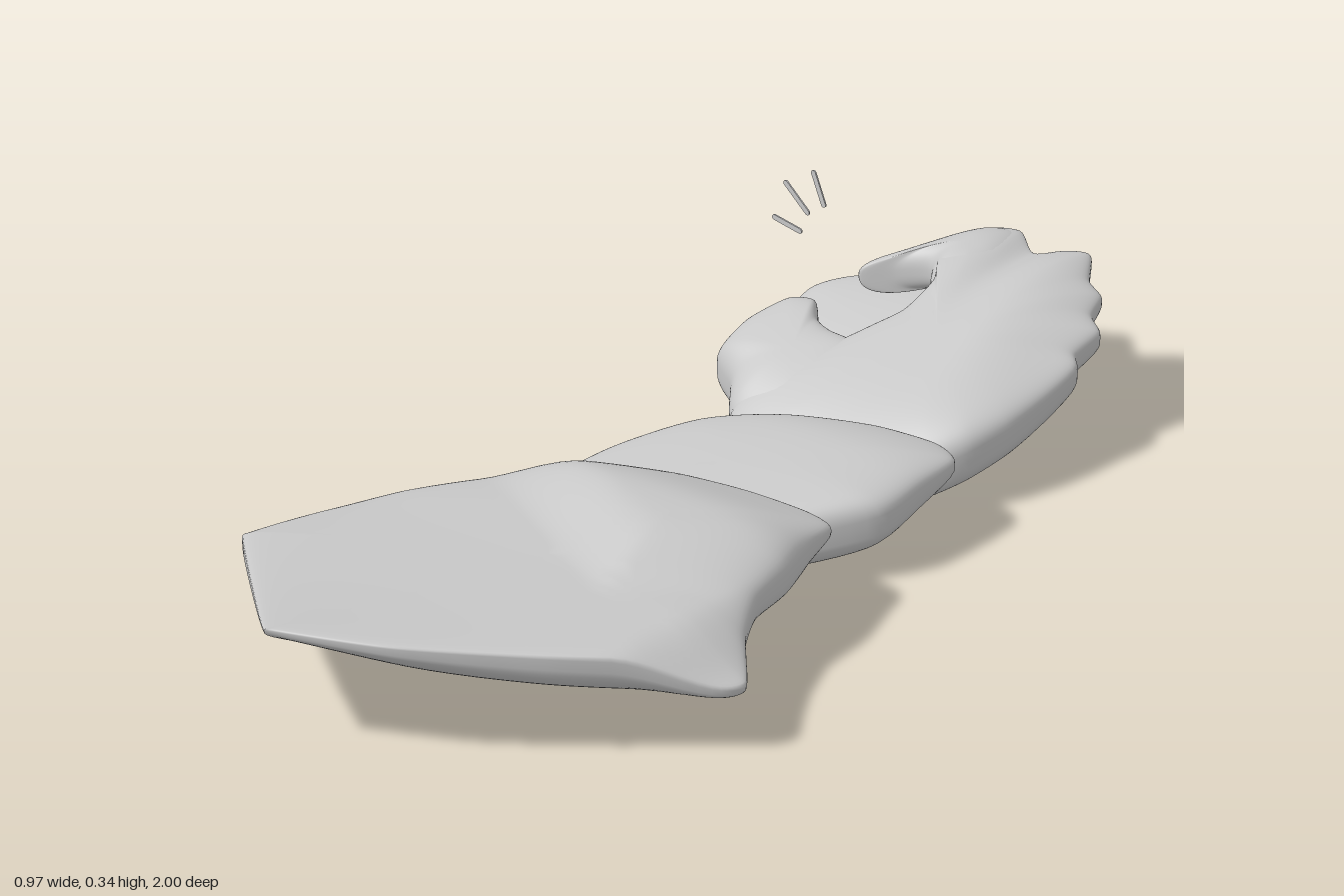
import * as THREE from 'three';

const smooth = THREE.MathUtils.smoothstep;

// Puffy closed form: a star-shaped outline (clockwise from above) in x,z around a centre.
// Sections give [z, top, bottom, rim] heights along z; lift raises the top, bend the whole part.
function pillow(outline, [cx, cz], sections,
  { lift = () => 0, bend = () => 0, puff = 1, full = 3.4 } = {}) {
  const curve = new THREE.CatmullRomCurve3(
    outline.map(([x, z]) => new THREE.Vector3(x, 0, z)), true, 'catmullrom', 0.35);
  const n = outline.length * 6, rows = 48;
  const heights = new THREE.CubicInterpolant(
    sections.map(s => s[0]), sections.flatMap(s => s.slice(1)), 3);
  const zMin = sections[0][0], zMax = sections[sections.length - 1][0];
  const rim = [];
  for (let j = 0; j < n; j++) rim.push(curve.getPoint(j / n));
  const pos = [], index = [];
  for (let i = 0; i <= rows; i++) {
    const t = Math.sin((i / rows) * Math.PI);
    const f = Math.pow(Math.max(0, 1 - Math.pow(Math.max(t, 0), full)), 1 / full) * puff;
    for (let j = 0; j < n; j++) {
      const x = cx + (rim[j].x - cx) * t, z = cz + (rim[j].z - cz) * t;
      const [top, bottom, edge] = heights.evaluate(THREE.MathUtils.clamp(z, zMin, zMax));
      const mid = bottom + (top - bottom) * edge;
      const face = i <= rows / 2 ? top + lift(x, z) : bottom;
      pos.push(x, mid + (face - mid) * f + bend(x, z), z);
      if (i < rows) {
        const p = i * n + j, q = i * n + (j + 1) % n;
        index.push(p, q, p + n, q, q + n, p + n);
      }
    }
  }
  const g = new THREE.BufferGeometry();
  g.setAttribute('position', new THREE.Float32BufferAttribute(pos, 3));
  g.setIndex(index);
  g.computeVertexNormals();
  return g;
}

export function createModel() {
  const model = new THREE.Group();
  model.name = 'snappingArm';
  const clay = new THREE.MeshStandardMaterial({ name: 'light grey', color: 0xc8c8c8 });
  const add = (name, geometry, parent = model) => {
    const m = new THREE.Mesh(geometry, clay);
    m.name = name;
    parent.add(m);
    return m;
  };

  // Sleeve: flat front with a raised fold at the back
  const sleeveOutline = [
    [-0.472, 0.66], [-0.447, 0.5], [-0.395, 0.34], [-0.305, 0.195], [-0.18, 0.07], [-0.05, -0.025],
    [0.07, -0.056], [0.2, -0.056], [0.272, -0.03], [0.297, 0.06], [0.327, 0.16], [0.342, 0.265],
    [0.39, 0.36], [0.43, 0.41], [0.48, 0.475], [0.465, 0.525], [0.36, 0.625], [0.24, 0.735],
    [0.03, 0.895], [-0.155, 0.99], [-0.18, 0.992], [-0.315, 0.85], [-0.462, 0.69]];
  const sleeveSections = [
    [-0.06, 0.175, 0.14, 0.5], [0, 0.188, 0.127, 0.5], [0.1, 0.2, 0.103, 0.5],
    [0.25, 0.207, 0.09, 0.5], [0.45, 0.208, 0.085, 0.6], [0.6, 0.213, 0.09, 0.75],
    [0.8, 0.224, 0.128, 0.82], [1, 0.244, 0.21, 0.7]];
  const fold = (x, z) => {
    const front = 0.29 + (x + 0.14) * 0.58 - z;
    const side = (0.63 - x - z) * 0.7;
    return 0.048 * smooth(Math.min(front, side), -0.03, 0.17) * smooth(z, -0.1, 0.18);
  };
  const sleeve = pillow(sleeveOutline, [0, 0.42], sleeveSections, { lift: fold });
  // Droop the outer corner of the sleeve
  const sp = sleeve.attributes.position;
  for (let i = 0; i < sp.count; i++) {
    const y = sp.getY(i);
    sp.setY(i, y - (y - 0.085) * 0.55 * smooth(sp.getX(i), 0.32, 0.49));
  }
  sleeve.computeVertexNormals();
  add('sleeve', sleeve);

  // Cuff, tucked under the sleeve
  add('cuff', pillow([
    [-0.318, 0.23], [-0.307, 0.1], [-0.297, 0], [-0.265, -0.1], [-0.185, -0.24], [-0.055, -0.35],
    [0.08, -0.418], [0.19, -0.432], [0.258, -0.395], [0.268, -0.29], [0.26, -0.18],
    [0.145, -0.03], [0, 0.11], [-0.18, 0.22], [-0.295, 0.245]],
  [-0.03, -0.12], [
    [-0.43, 0.16, 0.115, 0.5], [-0.4, 0.17, 0.102, 0.5], [-0.3, 0.185, 0.068, 0.5],
    [-0.2, 0.18, 0.038, 0.5], [-0.08, 0.163, 0.016, 0.5], [0.06, 0.14, 0.006, 0.5],
    [0.15, 0.125, 0.02, 0.5], [0.24, 0.112, 0.058, 0.5]]));

  // Hand: palm with scalloped fingertips, curled finger and thumb
  const handSections = [
    [-1, 0.274, 0.222, 0.5], [-0.9, 0.276, 0.195, 0.5], [-0.8, 0.264, 0.158, 0.5],
    [-0.6, 0.208, 0.07, 0.5], [-0.4, 0.134, -0.002, 0.5], [-0.34, 0.095, -0.01, 0.5],
    [-0.28, 0.065, 0.008, 0.5]];
  // Knuckle groove down the middle, and the hand falling away to both sides
  const sideFall = (x, z) =>
    smooth(-z, 0.45, 0.75) * smooth(Math.abs(x + 0.01), 0.08, 0.26);
  const knuckles = (x, z) => -0.015 * sideFall(x, z)
    - 0.022 * smooth(-z, 0.65, 0.95) * Math.exp(-(((x + 0.01) / 0.035) ** 2));
  const droop = (x, z) => -0.028 * sideFall(x, z);
  const hand = new THREE.Group();
  hand.name = 'hand';
  model.add(hand);
  add('palm', pillow([
    [-0.18, -0.31], [-0.24, -0.4], [-0.22, -0.5], [-0.14, -0.63], [-0.1, -0.7], [-0.1, -0.79],
    [-0.14, -0.86], [-0.13, -0.965], [-0.07, -0.997], [-0.01, -0.957], [0.05, -0.99],
    [0.085, -0.998], [0.13, -0.937], [0.17, -0.92], [0.188, -0.87], [0.225, -0.845],
    [0.224, -0.78], [0.247, -0.745], [0.242, -0.58], [0.217, -0.485], [0.17, -0.41],
    [0.08, -0.33], [0, -0.285], [-0.1, -0.287]],
  [0.04, -0.62], handSections, { lift: knuckles, bend: droop }), hand);
  add('curledFinger', pillow([
    [-0.272, -0.8], [-0.265, -0.83], [-0.19, -0.9], [-0.12, -0.972], [-0.06, -0.985],
    [0, -0.9], [-0.02, -0.79], [-0.1, -0.785], [-0.14, -0.832], [-0.21, -0.825]],
  [-0.1, -0.88], handSections, { lift: knuckles, bend: droop, puff: 0.95, full: 2.6 }), hand);
  add('thumb', pillow([
    [-0.35, -0.5], [-0.352, -0.58], [-0.315, -0.655], [-0.265, -0.67], [-0.225, -0.63],
    [-0.18, -0.615], [-0.08, -0.6], [-0.02, -0.48], [-0.1, -0.36], [-0.235, -0.395],
    [-0.29, -0.46]],
  [-0.2, -0.52], handSections, { puff: 0.92, full: 2.8 }), hand);

  // Folded fingers below the palm
  add('lowerFingers', pillow([
    [-0.402, -0.82], [-0.35, -0.88], [-0.26, -0.925], [-0.16, -0.95], [-0.05, -0.92],
    [0, -0.82], [-0.04, -0.7], [-0.14, -0.605], [-0.24, -0.59], [-0.31, -0.635],
    [-0.395, -0.71]],
  [-0.2, -0.77], [
    [-0.95, 0.155, 0.118, 0.5], [-0.85, 0.14, 0.068, 0.5], [-0.75, 0.11, 0.022, 0.5],
    [-0.65, 0.07, -0.005, 0.5], [-0.59, 0.045, 0.002, 0.5]]));

  // Snap marks: thin flat strips with rounded ends
  [[-0.455, 0.295, -0.408, 0.252], [-0.394, 0.333, -0.372, 0.278],
    [-0.48, 0.221, -0.425, 0.211]].forEach(([x0, y0, x1, y1], i) => {
    const r = 0.005, h = Math.hypot(x1 - x0, y1 - y0) / 2;
    const s = new THREE.Shape();
    s.absarc(h, 0, r, -Math.PI / 2, Math.PI / 2);
    s.absarc(-h, 0, r, Math.PI / 2, Math.PI * 1.5);
    const mark = add('snapMark' + (i + 1),
      new THREE.ExtrudeGeometry(s, { depth: 0.003, bevelEnabled: false, curveSegments: 8 }));
    mark.position.set((x0 + x1) / 2, (y0 + y1) / 2, -0.83);
    mark.rotation.z = Math.atan2(y1 - y0, x1 - x0);
  });
  return model;
}
